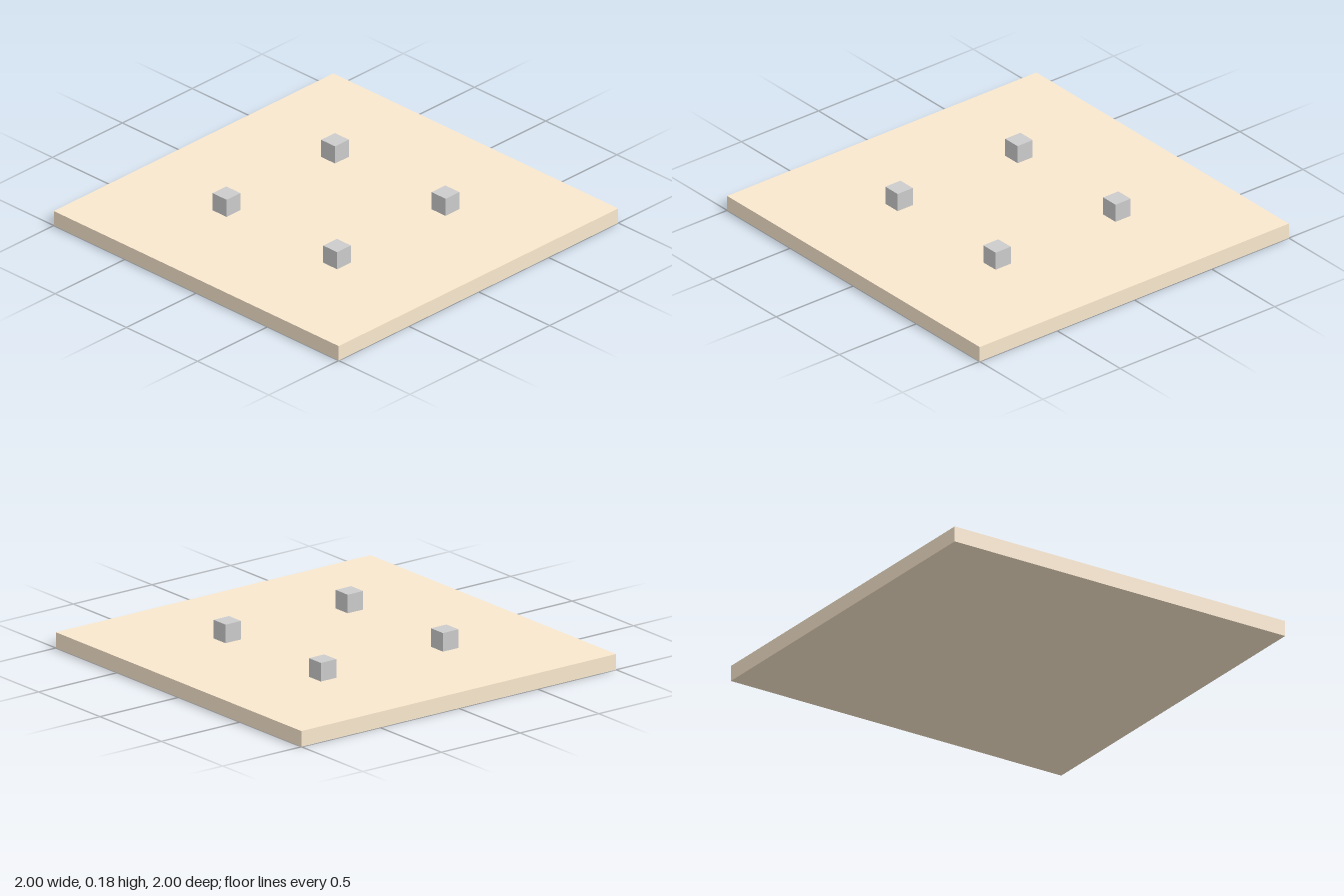
import * as THREE from 'three';

const BOARD = 0.083; // board thickness
const CUBE = 0.098; // block edge
const OFFSET = 0.388; // block distance from the centre lines

export function createModel() {
  const model = new THREE.Group();
  const boardMaterial = new THREE.MeshStandardMaterial({ color: 0xfae8ce });
  const blockMaterial = new THREE.MeshStandardMaterial({ color: 0xcccccc });

  // Square board
  const board = new THREE.Mesh(new THREE.BoxGeometry(2, BOARD, 2), boardMaterial);
  board.name = 'board';
  board.position.y = BOARD / 2;
  model.add(board);

  // Four blocks standing on the board
  const blockGeometry = new THREE.BoxGeometry(CUBE, CUBE, CUBE);
  for (const x of [-1, 1]) {
    for (const z of [-1, 1]) {
      const block = new THREE.Mesh(blockGeometry, blockMaterial);
      block.name = (z > 0 ? 'front' : 'back') + (x > 0 ? 'Left' : 'Right') + 'Block';
      block.position.set(x * OFFSET, BOARD + CUBE / 2, z * OFFSET);
      model.add(block);
    }
  }
  return model;
}
